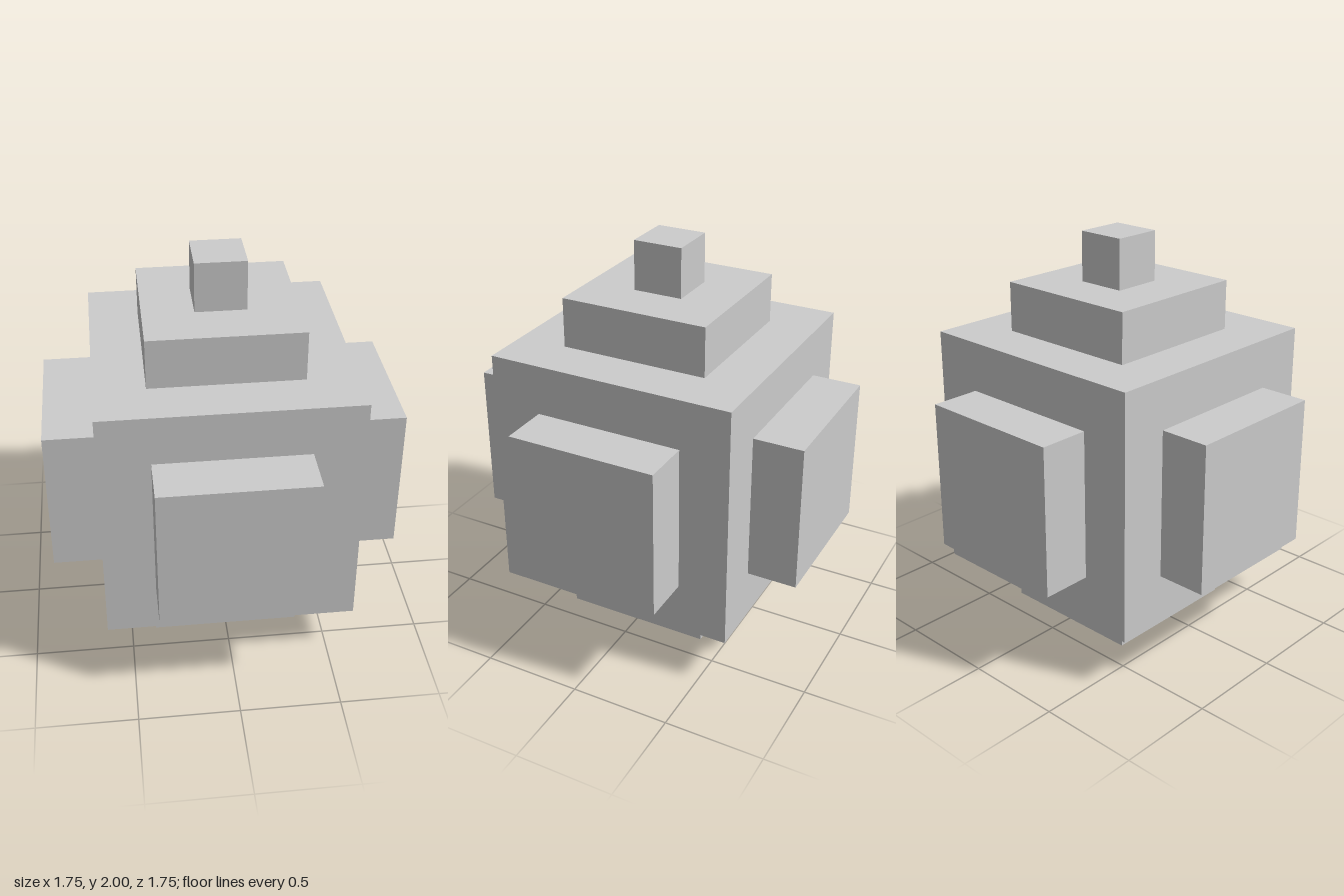
import * as THREE from 'three';

const CORE = 1.25;      // edge of the central cube
const PLATE = 0.75;     // edge of each square plate
const STEP = 0.25;      // plate thickness and knob edge
const CENTRE_Y = 0.875; // height of the cube's centre

export function createModel() {
  const model = new THREE.Group();
  model.name = 'steppedCube';
  const material = new THREE.MeshStandardMaterial({ color: 0xcccccc, flatShading: true });

  const addBox = (name, size, position) => {
    const mesh = new THREE.Mesh(new THREE.BoxGeometry(...size), material);
    mesh.name = name;
    mesh.position.set(...position);
    model.add(mesh);
  };

  // Central cube
  addBox('coreCube', [CORE, CORE, CORE], [0, CENTRE_Y, 0]);

  // One square plate on each of the six faces
  const plateNames = [['rightPlate', 'leftPlate'], ['basePlate', 'topPlate'], ['backPlate', 'frontPlate']];
  plateNames.forEach((names, axis) => {
    names.forEach((name, i) => {
      const size = [PLATE, PLATE, PLATE];
      size[axis] = STEP;
      const position = [0, CENTRE_Y, 0];
      position[axis] += (i ? 1 : -1) * (CORE + STEP) / 2;
      addBox(name, size, position);
    });
  });

  // Small knob on the top plate
  addBox('topKnob', [STEP, STEP, STEP], [0, CENTRE_Y + CORE / 2 + STEP * 1.5, 0]);

  return model;
}
